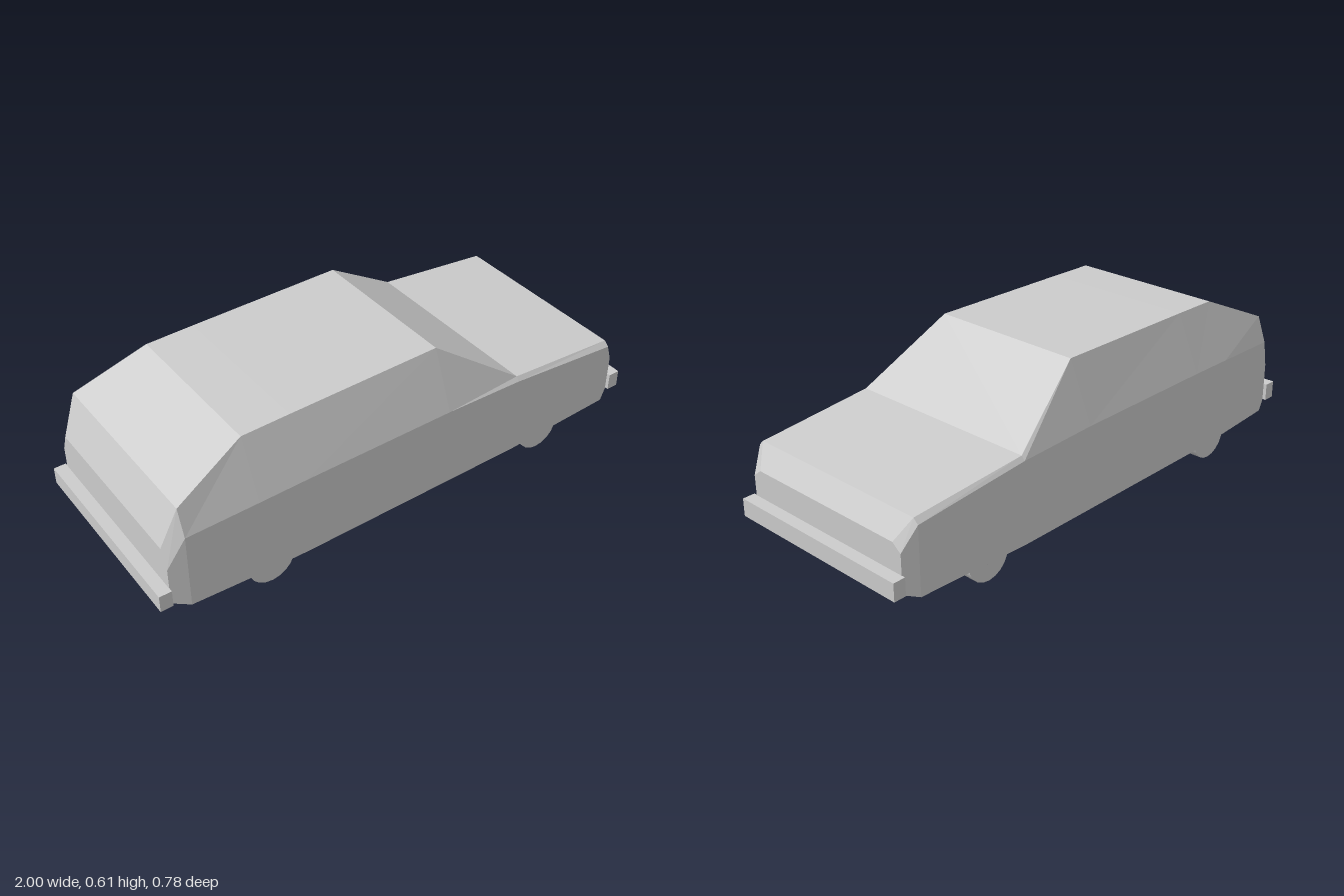
import * as THREE from 'three';

export function createModel() {
  const car = new THREE.Group();
  car.name = 'car';
  const grey = new THREE.MeshStandardMaterial({ color: 0xcccccc });
  grey.name = 'light grey';

  const add = (name, geometry, x, y, z, parent = car) => {
    const mesh = new THREE.Mesh(geometry, grey);
    mesh.name = name;
    mesh.position.set(x, y, z);
    parent.add(mesh);
    return mesh;
  };

  // Body cross-sections, rear to front: x, bottom y, side half width, belt y, top y, top half width
  const sections = [
    [-0.955, 0.113, 0.36, 0.26, 0.33, 0.33],
    [-0.895, 0.092, 0.385, 0.383, 0.48, 0.35],
    [-0.63, 0.081, 0.39, 0.39, 0.6, 0.3],
    [-0.45, 0.075, 0.39, 0.392, 0.603, 0.3],
    [0.14, 0.075, 0.39, 0.392, 0.61, 0.3],
    [0.455, 0.075, 0.39, 0.383, 0.398, 0.377],
    [0.905, 0.092, 0.386, 0.342, 0.36, 0.367],
    [0.955, 0.111, 0.36, 0.255, 0.282, 0.325],
  ];
  const rings = sections.map(([x, bottom, side, belt, top, roof]) => [
    [x, bottom, side], [x, belt, side], [x, top, roof],
    [x, top, -roof], [x, belt, -side], [x, bottom, -side],
  ]);
  const positions = [];
  const triangle = (a, b, c) => positions.push(...a, ...b, ...c);

  // Skin between neighbouring sections
  for (let s = 0; s < rings.length - 1; s++) {
    for (let i = 0; i < 6; i++) {
      const j = (i + 1) % 6;
      const a = rings[s], b = rings[s + 1];
      triangle(a[i], b[i], b[j]);
      triangle(a[i], b[j], a[j]);
    }
  }
  // Rear and front end panels
  const rear = rings[0], front = rings[rings.length - 1];
  for (let i = 1; i < 5; i++) {
    triangle(rear[0], rear[i], rear[i + 1]);
    triangle(front[0], front[i + 1], front[i]);
  }
  const body = new THREE.BufferGeometry();
  body.setAttribute('position', new THREE.Float32BufferAttribute(positions, 3));
  body.computeVertexNormals(); // unshared corners give flat panels
  add('body', body, 0, 0, 0);

  // Bumpers
  const bumper = new THREE.BoxGeometry(0.046, 0.066, 0.748);
  add('frontBumper', bumper, 0.977, 0.147, 0);
  add('rearBumper', bumper, -0.977, 0.147, 0);

  // Wheels with slightly wider hubs
  const tyre = new THREE.CylinderGeometry(0.088, 0.088, 0.058, 20).rotateX(Math.PI / 2);
  const hub = new THREE.CylinderGeometry(0.024, 0.024, 0.076, 12).rotateX(Math.PI / 2);
  for (const [end, x] of [['front', 0.6], ['rear', -0.582]]) {
    for (const [side, z] of [['Left', 0.34], ['Right', -0.34]]) {
      const wheel = new THREE.Group();
      wheel.name = `${end}${side}Wheel`;
      wheel.position.set(x, 0.088, z);
      add('tyre', tyre, 0, 0, 0, wheel);
      add('hub', hub, 0, 0, 0, wheel);
      car.add(wheel);
    }
  }
  return car;
}
